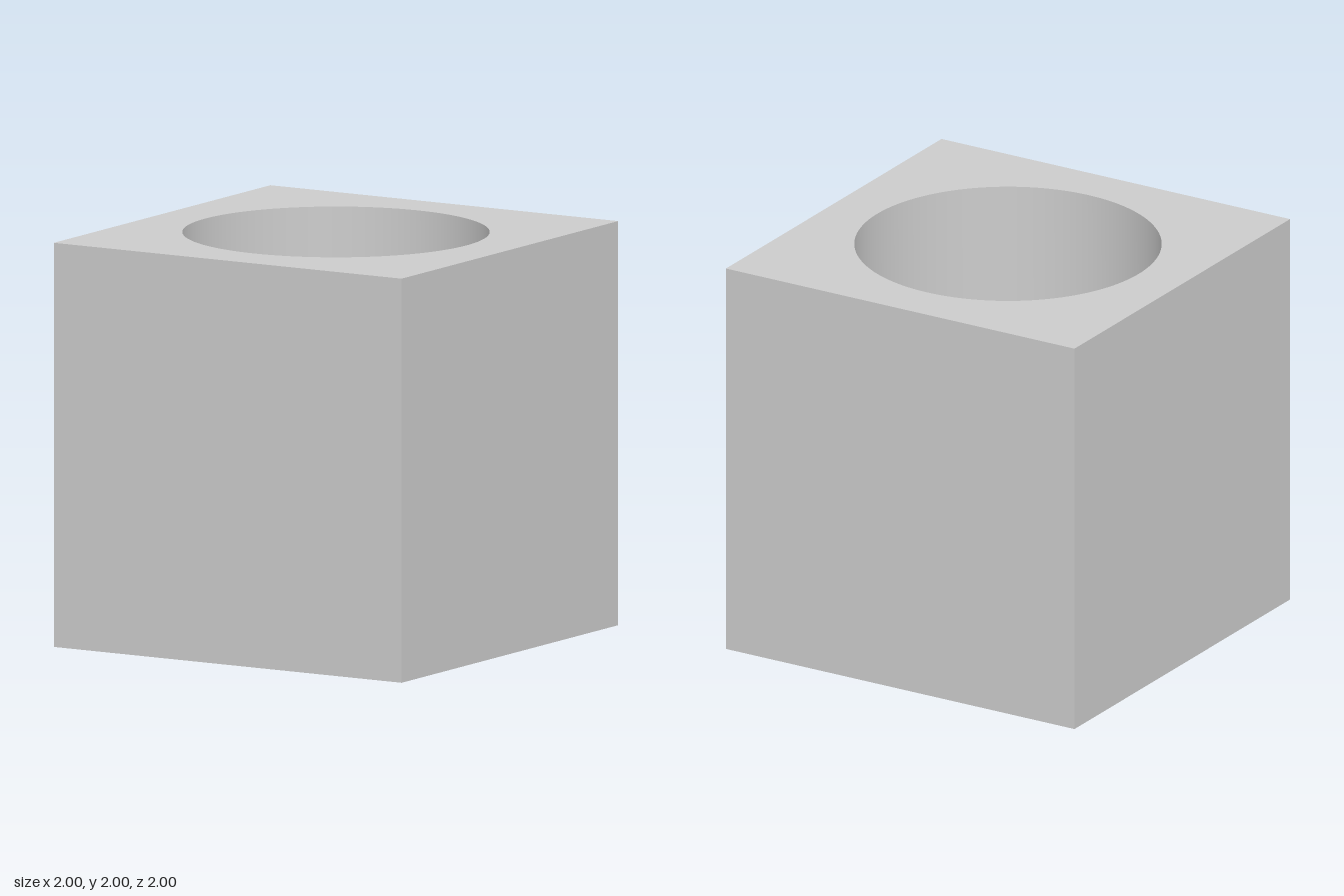
import * as THREE from 'three';
import { toCreasedNormals } from 'three/addons/utils/BufferGeometryUtils.js';

const SIZE = 2;
const BORE_RADIUS = 0.75;

export function createModel() {
  const group = new THREE.Group();
  group.name = 'boredCube';

  // Square section with a round hole
  const h = SIZE / 2;
  const section = new THREE.Shape([
    new THREE.Vector2(-h, -h),
    new THREE.Vector2(h, -h),
    new THREE.Vector2(h, h),
    new THREE.Vector2(-h, h),
  ]);
  section.holes.push(new THREE.Path().absarc(0, 0, BORE_RADIUS, 0, Math.PI * 2, true));

  // Extruded upwards, with a smooth bore and sharp edges
  const extruded = new THREE.ExtrudeGeometry(section, {
    depth: SIZE,
    bevelEnabled: false,
    curveSegments: 128,
  });
  extruded.rotateX(-Math.PI / 2);
  const geometry = toCreasedNormals(extruded, Math.PI / 6);

  const block = new THREE.Mesh(geometry, new THREE.MeshStandardMaterial({ color: 0xcccccc }));
  block.name = 'blockWithRoundBore';
  group.add(block);

  return group;
}
